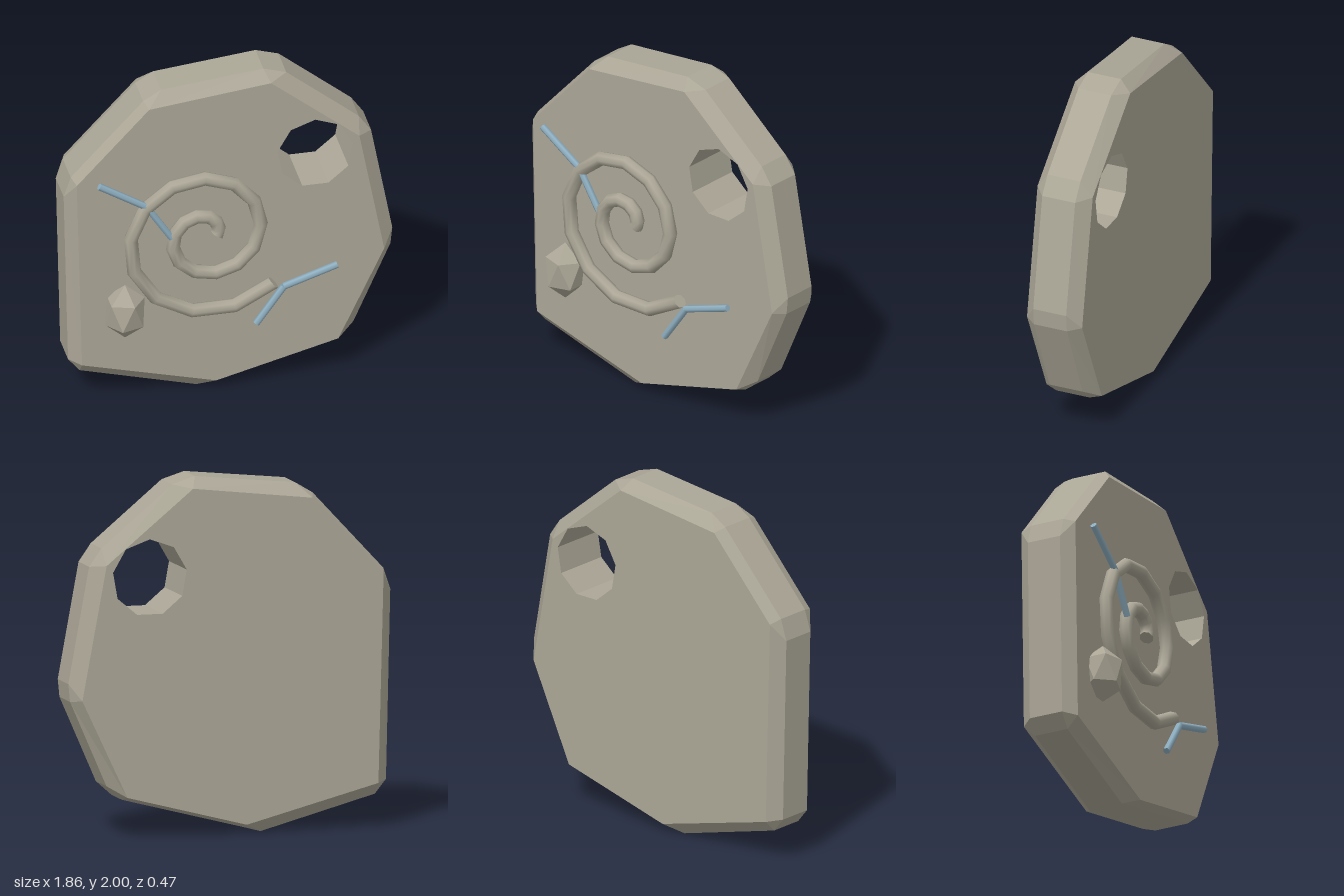
import * as THREE from 'three';

// Slab corners, counter-clockwise: [face corner, outer corner start, outer corner end]
const CORNERS = [
  [[-0.46, 1.86], [-0.38, 1.94], [-0.48, 1.88]],
  [[-0.87, 1.42], [-0.89, 1.44], [-0.93, 1.32]],
  [[-0.84, 0.25], [-0.905, 0.26], [-0.84, 0.18]],
  [[-0.08, 0.05], [-0.18, 0.0], [-0.07, 0.03]],
  [[0.61, 0.23], [0.62, 0.21], [0.71, 0.29]],
  [[0.87, 0.78], [0.92, 0.77], [0.93, 0.87]],
  [[0.73, 1.53], [0.81, 1.52], [0.74, 1.62]],
  [[0.23, 1.94], [0.33, 1.96], [0.2, 2.0]],
];
const FRONT = 0.1, FRONT_RIM = 0.035, BACK_RIM = -0.165, BACK = -0.235;

function slabGeometry() {
  const pos = [];
  const at = (p, z) => [p[0], p[1], z];
  const tri = (a, b, c) => pos.push(...a, ...b, ...c);
  const quad = (a, b, c, d) => { tri(a, b, c); tri(a, c, d); };

  // Nine-sided hole, clockwise
  const hole = [];
  for (let i = 0; i < 9; i++) {
    const a = Math.PI / 2 - (i / 9) * Math.PI * 2;
    hole.push([0.48 + 0.216 * Math.cos(a), 1.453 + 0.216 * Math.sin(a)]);
  }

  // Front and back faces
  const face = CORNERS.map((c) => c[0]);
  const all = [...face, ...hole];
  const v2 = (list) => list.map((p) => new THREE.Vector2(...p));
  for (const [a, b, c] of THREE.ShapeUtils.triangulateShape(v2(face), [v2(hole)])) {
    tri(at(all[a], FRONT), at(all[b], FRONT), at(all[c], FRONT));
    tri(at(all[c], BACK), at(all[b], BACK), at(all[a], BACK));
  }

  // Chamfers with cut corners
  CORNERS.forEach(([f, s, e], i) => {
    const [nf, ns] = CORNERS[(i + 1) % CORNERS.length];
    tri(at(s, FRONT_RIM), at(e, FRONT_RIM), at(f, FRONT));
    quad(at(e, FRONT_RIM), at(ns, FRONT_RIM), at(nf, FRONT), at(f, FRONT));
    tri(at(f, BACK), at(e, BACK_RIM), at(s, BACK_RIM));
    quad(at(f, BACK), at(nf, BACK), at(ns, BACK_RIM), at(e, BACK_RIM));
  });

  // Outer rim and hole wall
  const wall = (ring, back, front) => ring.forEach((p, i) => {
    const q = ring[(i + 1) % ring.length];
    quad(at(p, back), at(q, back), at(q, front), at(p, front));
  });
  wall(CORNERS.flatMap((c) => [c[1], c[2]]), BACK_RIM, FRONT_RIM);
  wall(hole, BACK, FRONT);

  const g = new THREE.BufferGeometry();
  g.setAttribute('position', new THREE.Float32BufferAttribute(pos, 3));
  g.computeVertexNormals();
  return g;
}

// Spiral sampled at even angles
class Spiral extends THREE.Curve {
  getPoint(t, target = new THREE.Vector3()) {
    const a = t * Math.PI * 3.76;
    const r = 0.062 + 0.039 * a;
    return target.set(-0.147 + r * Math.cos(a), 1.027 + r * Math.sin(a), 0.14);
  }
  getPointAt(t, target) { return this.getPoint(t, target); }
  getTangentAt(t, target) { return this.getTangent(t, target); }
}

export function createModel() {
  const stone = new THREE.MeshStandardMaterial({ color: 0xaba696 });
  stone.name = 'stone';
  const blue = new THREE.MeshStandardMaterial({ color: 0x8fb0c2 });
  blue.name = 'pale blue';

  const model = new THREE.Group();
  model.name = 'carvedStone';
  const add = (name, geometry, material, parent = model) => {
    const mesh = new THREE.Mesh(geometry, material);
    mesh.name = name;
    parent.add(mesh);
    return mesh;
  };

  add('slab', slabGeometry(), stone);

  // Raised spiral with closed ends
  const spiral = new Spiral();
  add('spiral', new THREE.TubeGeometry(spiral, 24, 0.04, 8, false), stone);
  for (const [t, dir] of [[0, -1], [1, 1]]) {
    const cap = add('spiralEnd', new THREE.CircleGeometry(0.04, 8), stone);
    const p = spiral.getPoint(t);
    cap.position.copy(p);
    cap.lookAt(p.clone().addScaledVector(spiral.getTangent(t), dir));
  }

  // Bent rods: end, bend, end
  const rods = [
    ['upperRod', [[-0.755, 1.433], [-0.487, 1.265], [-0.345, 1.045]]],
    ['lowerRod', [[0.593, 0.746], [0.29, 0.645], [0.133, 0.425]]],
  ];
  for (const [name, pts] of rods) {
    const rod = new THREE.Group();
    rod.name = name;
    model.add(rod);
    for (let i = 0; i < 2; i++) {
      const a = new THREE.Vector3(...pts[i], 0.153);
      const b = new THREE.Vector3(...pts[i + 1], 0.153);
      const dir = b.clone().sub(a);
      const part = add('rodSegment', new THREE.CylinderGeometry(0.02, 0.02, dir.length(), 6), blue, rod);
      part.position.copy(a).add(b).multiplyScalar(0.5);
      part.quaternion.setFromUnitVectors(new THREE.Vector3(0, 1, 0), dir.normalize());
    }
  }

  // Faceted pebble standing on one point
  const pebble = new THREE.IcosahedronGeometry(1, 0);
  pebble.rotateZ(-Math.atan(2 / (1 + Math.sqrt(5))));
  pebble.scale(0.124, 0.17, 0.12);
  pebble.translate(-0.605, 0.592, 0.135);
  pebble.computeVertexNormals();
  add('pebble', pebble, stone);

  return model;
}
